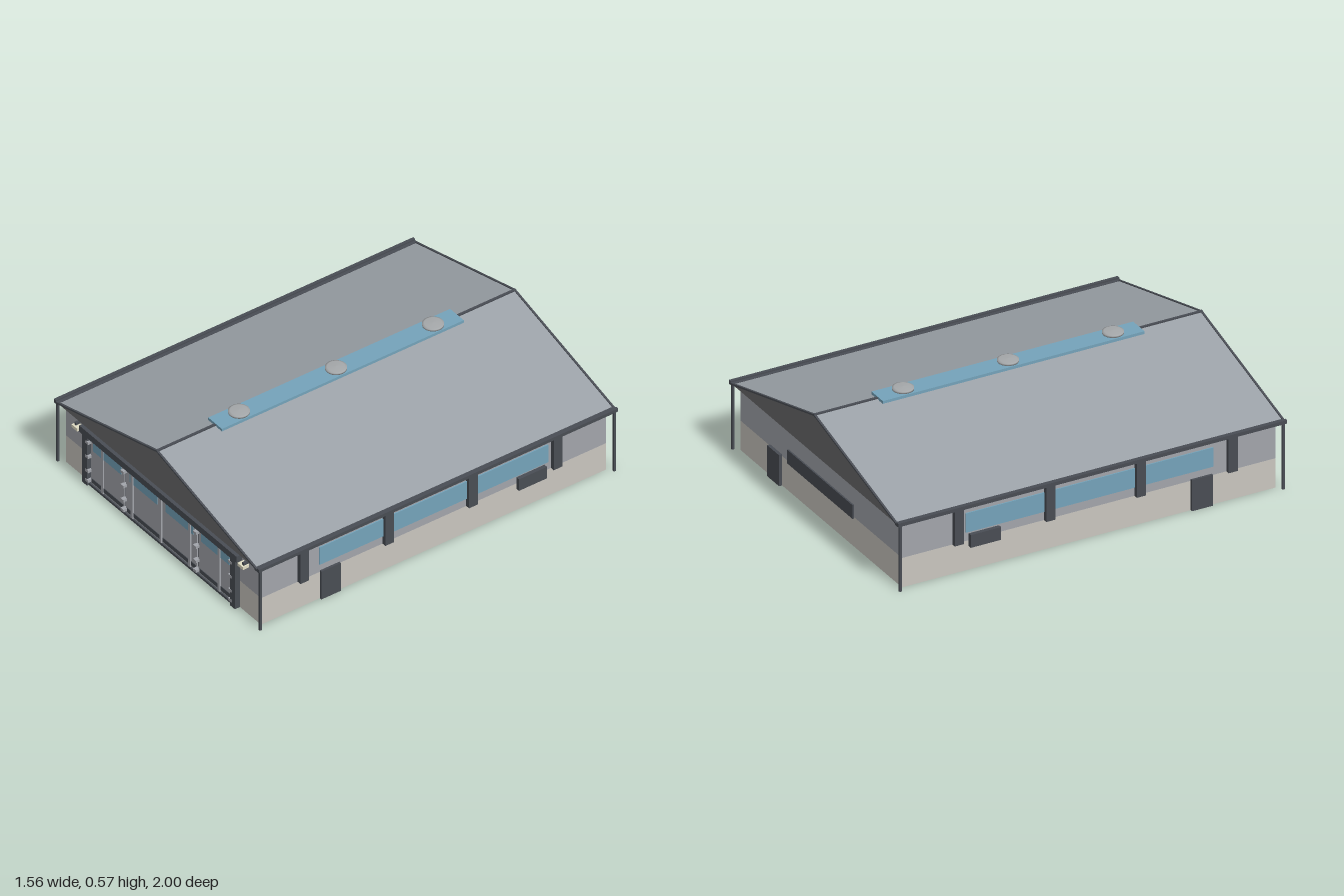
import * as THREE from 'three';

const material = (color, extra = {}) => new THREE.MeshStandardMaterial({ color, ...extra });
const cream = material(0xc9c6bf);
const wall = material(0xa2a5ab);
const roofGrey = material(0x9ba1a7);
const gableGrey = material(0x6a6a6b);
const dark = material(0x494d54);
const glass = material(0x74a3ba);
const lampCream = material(0xe0dcc4);
const steel = material(0xa5a8aa);

export function createModel() {
  const model = new THREE.Group();

  // Box given by its minimum and maximum on each axis
  const box = (name, mat, x0, x1, y0, y1, z0, z1, parent = model) => {
    const mesh = new THREE.Mesh(new THREE.BoxGeometry(x1 - x0, y1 - y0, z1 - z0), mat);
    mesh.position.set((x0 + x1) / 2, (y0 + y1) / 2, (z0 + z1) / 2);
    mesh.name = name;
    parent.add(mesh);
    return mesh;
  };
  // Same box on both the +x and -x side
  const pair = (name, mat, x0, x1, ...rest) => {
    box(name + 'Left', mat, x0, x1, ...rest);
    box(name + 'Right', mat, -x1, -x0, ...rest);
  };

  // Walls
  box('lowerWall', cream, -0.74, 0.74, 0, 0.15, -0.96, 0.96);
  box('upperWall', wall, -0.74, 0.74, 0.15, 0.34, -0.96, 0.96);

  // Roof prism: dark gable ends, lighter slopes
  const gable = new THREE.Shape([
    new THREE.Vector2(-0.765, 0.338), new THREE.Vector2(0.765, 0.338), new THREE.Vector2(0, 0.54),
  ]);
  const prism = new THREE.ExtrudeGeometry(gable, { depth: 1.99, bevelEnabled: false });
  prism.translate(0, 0, -0.995);
  const roof = new THREE.Mesh(prism, [gableGrey, roofGrey]);
  roof.name = 'roof';
  model.add(roof);

  // Sloped trim on the gable edges
  const angle = Math.atan2(0.202, 0.765);
  for (const z of [-0.995, 0.995]) {
    for (const s of [-1, 1]) {
      const trim = new THREE.Mesh(new THREE.BoxGeometry(0.787, 0.008, 0.01), dark);
      trim.position.set(s * 0.382, 0.439, z);
      trim.rotation.z = -s * angle;
      trim.name = 'gableTrim';
      model.add(trim);
    }
  }
  box('ridgeCap', dark, -0.006, 0.006, 0.535, 0.545, -1, 1);

  // Gutters and downspouts
  pair('gutter', dark, 0.745, 0.776, 0.333, 0.345, -1, 1);
  pair('gutterLip', dark, 0.762, 0.778, 0.335, 0.352, -1, 1);
  for (const z of [-0.985, 0.985]) {
    pair('downspout', dark, 0.762, 0.774, 0, 0.335, z - 0.006, z + 0.006);
  }

  // Ridge skylight with three round vents
  box('skylight', glass, -0.052, 0.052, 0.535, 0.549, -0.673, 0.673);
  for (const z of [-0.54, 0, 0.54]) {
    const vent = new THREE.Group();
    vent.name = 'roofVent';
    const stem = new THREE.Mesh(new THREE.CylinderGeometry(0.03, 0.03, 0.014, 20), steel);
    stem.position.y = 0.551;
    const profile = [[0, 0], [0.05, 0], [0.05, 0.009], [0.04, 0.012], [0, 0.014]];
    const cap = new THREE.Mesh(
      new THREE.LatheGeometry(profile.map(([r, y]) => new THREE.Vector2(r, y)), 24), steel);
    cap.position.y = 0.552;
    vent.add(stem, cap);
    vent.position.z = z;
    model.add(vent);
  }

  // Both long sides: pilasters, window band, door and wall unit
  for (const z of [0.732, 0.26, -0.206, -0.677]) {
    pair('pilaster', dark, 0.73, 0.762, 0.15, 0.338, z - 0.024, z + 0.024);
  }
  pair('sideWindow', glass, 0.73, 0.746, 0.195, 0.293, -0.634, 0.638);
  pair('sideDoor', dark, 0.73, 0.752, 0, 0.158, 0.525, 0.633);
  pair('wallUnit', dark, 0.73, 0.76, 0.12, 0.185, -0.617, -0.461);

  // Back wall: door and dark window strip
  box('backDoor', dark, 0.36, 0.47, 0, 0.158, -0.976, -0.95);
  box('backWindow', dark, -0.3, 0.3, 0.143, 0.213, -0.968, -0.95);

  // Front frame
  box('lintel', dark, -0.597, 0.597, 0.275, 0.31, 0.95, 0.992);
  pair('framePost', dark, 0.542, 0.58, 0, 0.275, 0.95, 0.988);
  box('threshold', dark, -0.545, 0.545, 0, 0.012, 0.95, 0.978);

  // Folding front door: four leaves with windows and kick plates
  const door = new THREE.Group();
  door.name = 'frontDoor';
  model.add(door);
  box('doorBacking', dark, -0.542, 0.542, 0.005, 0.275, 0.95, 0.964, door);
  const leaves = [[-0.538, -0.281, -0.517, -0.304], [-0.269, -0.002, -0.242, -0.033]];
  for (const [x0, x1, w0, w1] of leaves) {
    for (const s of [1, -1]) {
      const span = (name, mat, a, b, ...rest) =>
        box(name, mat, Math.min(s * a, s * b), Math.max(s * a, s * b), ...rest, door);
      span('doorLeaf', wall, x0, x1, 0.012, 0.27, 0.95, 0.97);
      span('doorWindow', glass, w0, w1, 0.204, 0.258, 0.95, 0.973);
      span('kickPlate', dark, x0 + 0.008, x1 - 0.008, 0.021, 0.043, 0.95, 0.973);
    }
  }
  // Vertical door bars and hinges
  for (const x of [-0.443, -0.218, 0, 0.218, 0.443]) {
    box('doorBar', wall, x - 0.007, x + 0.007, 0.012, 0.272, 0.955, 0.978, door);
  }
  for (const x of [-0.542, -0.275, 0.275, 0.542]) {
    for (const y of [0.245, 0.165, 0.085, 0.03]) {
      box('doorHinge', wall, x - 0.011, x + 0.011, y - 0.007, y + 0.007, 0.955, 0.99, door);
    }
  }

  // Lamps beside the door
  pair('lampBracket', dark, 0.631, 0.643, 0.283, 0.298, 0.95, 0.985);
  pair('lamp', lampCream, 0.608, 0.65, 0.269, 0.285, 0.958, 0.995);

  return model;
}
